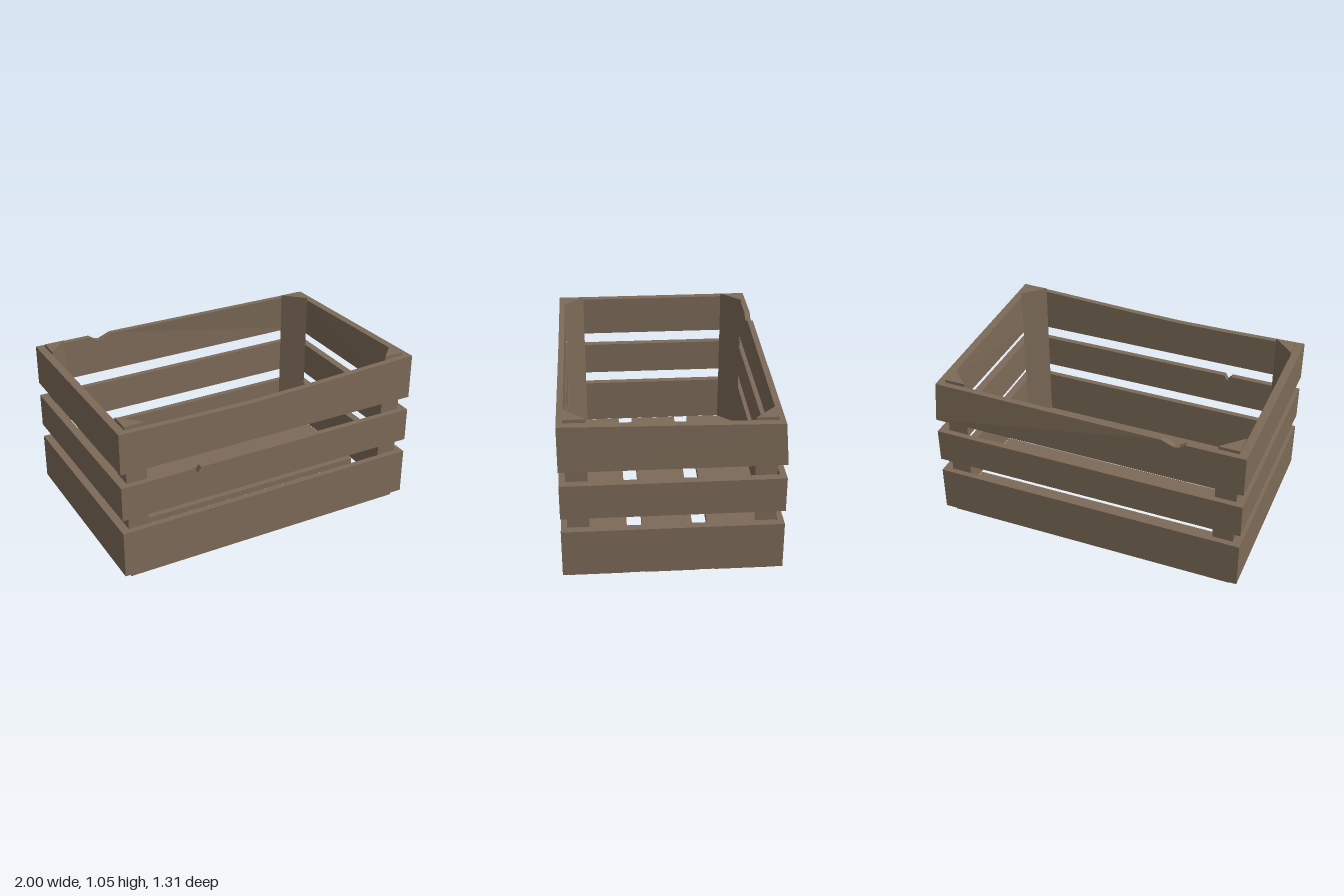
import * as THREE from 'three';

const HX = 1, HZ = 0.655;    // outer half sizes
const TX = 0.05, TZ = 0.037; // thickness of end and long boards

const wood = new THREE.MeshStandardMaterial({ color: 0x7d6b58, flatShading: true });

// The back right corner leans inward near its top
function leanCorner(geo) {
  const p = geo.attributes.position;
  for (let i = 0; i < p.count; i++) {
    if (p.getX(i) > 0.75 && p.getZ(i) < -0.45 && p.getY(i) > 0.9) {
      p.setX(i, p.getX(i) - 0.012);
      p.setZ(i, p.getZ(i) + 0.02);
    }
  }
  geo.computeVertexNormals();
  return geo;
}

// Board standing on edge, mitred at both ends; top is its upper outline, left to right
function boardGeometry(half, dist, t, mitre, y0, top, angle) {
  const shape = new THREE.Shape();
  shape.moveTo(-half, y0);
  shape.lineTo(half, y0);
  [...top].reverse().forEach(([x, y]) => shape.lineTo(x, y));
  shape.closePath();
  const geo = new THREE.ExtrudeGeometry(shape, { depth: t, bevelEnabled: false });
  const p = geo.attributes.position;
  for (let i = 0; i < p.count; i++) {
    const x = p.getX(i);
    if (p.getZ(i) < t / 2 && Math.abs(x) > half - 0.001) p.setX(i, Math.sign(x) * (half - mitre));
  }
  geo.translate(0, 0, dist - t);
  geo.rotateY(angle);
  return leanCorner(geo);
}

export function createModel() {
  const crate = new THREE.Group();
  crate.name = 'crate';
  const add = (name, geo) => {
    const mesh = new THREE.Mesh(geo, wood);
    mesh.name = name;
    crate.add(mesh);
  };

  // Three tiers of wall boards, with worn or chipped top edges where given
  const tiers = [
    { name: 'bottom', y0: 0.04, y1: 0.34 },
    { name: 'middle', y0: 0.43, y1: 0.65,
      Front: [[-HX, 0.65], [-0.54, 0.65], [-0.51, 0.615], [-0.49, 0.65], [HX, 0.65]] },
    { name: 'top', y0: 0.74, y1: 1.0,
      Front: [[-HX, 1.0], [-0.5, 0.99], [-0.15, 0.987], [0.2, 0.997], [HX, 1.03]],
      Right: [[-HZ, 1.03], [HZ, 1.0]],
      Back: [[-HX, 1.0], [0.49, 1.0], [0.57, 0.968], [0.6, 0.972], [0.64, 1.0], [HX, 1.0]] },
  ];
  for (const tier of tiers) {
    ['Front', 'Right', 'Back', 'Left'].forEach((side, k) => {
      const long = k % 2 === 0;
      const half = long ? HX : HZ;
      const top = tier[side] || [[-half, tier.y1], [half, tier.y1]];
      add(tier.name + side + 'Board', boardGeometry(
        half, long ? HZ : HX, long ? TZ : TX, long ? TX : TZ, tier.y0, top, k * Math.PI / 2));
    });
  }

  // Triangular posts inside the corners
  for (const sx of [-1, 1]) {
    for (const sz of [-1, 1]) {
      const x = sx * (HX - TX), z = sz * (HZ - TZ), leg = 0.13;
      const shape = new THREE.Shape([
        new THREE.Vector2(x, -z),
        new THREE.Vector2(x - sx * leg, -z),
        new THREE.Vector2(x, -z + sz * leg),
      ]);
      const height = sx > 0 && sz > 0 ? 1.01 : 0.98;
      const geo = new THREE.ExtrudeGeometry(shape, { depth: height, bevelEnabled: false });
      geo.rotateX(-Math.PI / 2);
      geo.translate(0, 0.04, 0);
      add((sz > 0 ? 'front' : 'back') + (sx > 0 ? 'Left' : 'Right') + 'Post', leanCorner(geo));
    }
  }

  // Floor planks
  for (const [z0, z1] of [[-0.62, -0.255], [-0.16, 0.16], [0.255, 0.62]]) {
    const geo = new THREE.BoxGeometry(1.896, 0.04, z1 - z0);
    geo.translate(0, 0.02, (z0 + z1) / 2);
    add('floorPlank', geo);
  }
  return crate;
}
